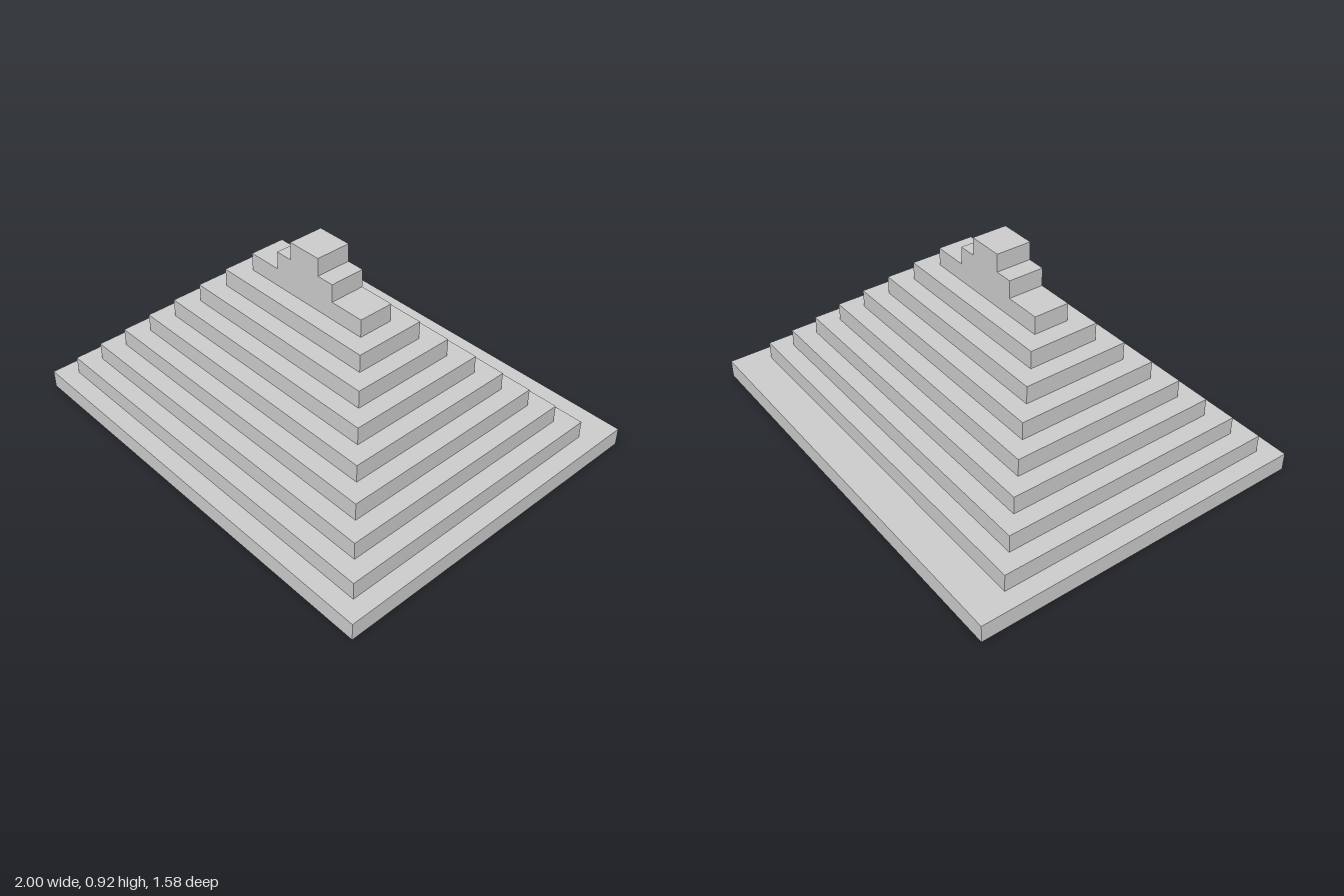
import * as THREE from 'three';

const U = 1 / 12; // one step: every size is a whole or half number of these

export function createModel() {
  const model = new THREE.Group();
  model.name = 'steppedPyramid';
  const material = new THREE.MeshStandardMaterial({ color: 0xcccccc, flatShading: true });

  // One slab, one step high, resting on the given level
  function addSlab(name, level, width, depth, z) {
    const slab = new THREE.Mesh(new THREE.BoxGeometry(width * U, U, depth * U), material);
    slab.name = name;
    slab.position.set(0, (level + 0.5) * U, z * U);
    model.add(slab);
  }

  // Base, with a wider ledge at the back
  addSlab('base', 0, 24, 19, 0);

  // Tiers, each one step smaller on every side, set half a step forward
  for (let i = 1; i <= 8; i++) {
    addSlab(`tier${i}`, i, 24 - 2 * i, 18 - 2 * i, 0.5);
  }

  // Crest blocks, narrowing only in width
  addSlab('crestLower', 9, 4, 2, 0.5);
  addSlab('crestTop', 10, 2, 2, 0.5);

  return model;
}
